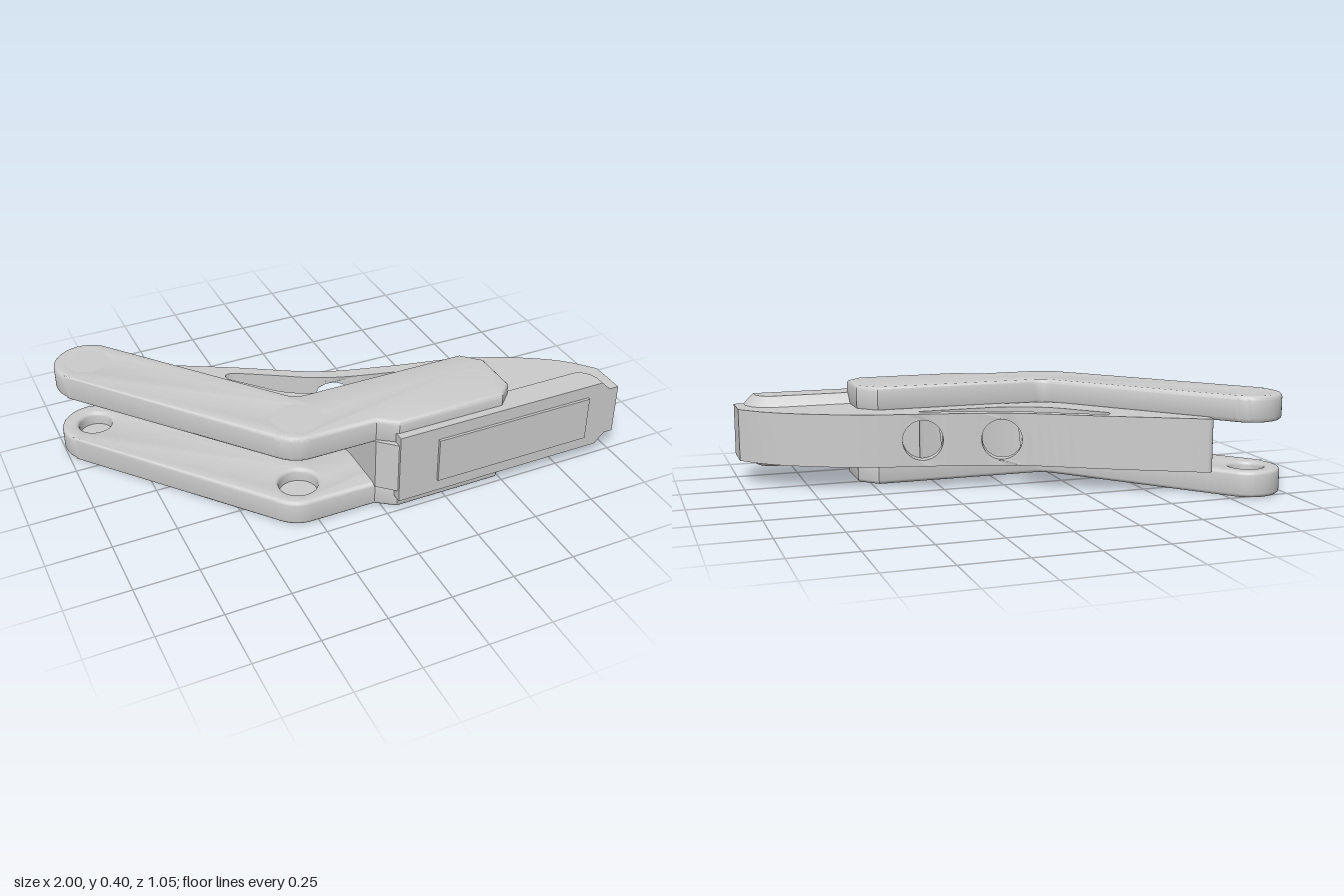
import * as THREE from 'three';
import { toCreasedNormals } from 'three/addons/utils/BufferGeometryUtils.js';

const material = new THREE.MeshStandardMaterial({ color: 0xcccccc });
const MID = 0.2; // mid height of the assembly

function add(group, name, geometry, crease = 0.6) {
  const mesh = new THREE.Mesh(toCreasedNormals(geometry, crease), material);
  mesh.name = name;
  group.add(mesh);
  return mesh;
}

// Extrude a plan outline (x, z) upward from y0 to y1, with an optional rounded edge
function slab(shape, y0, y1, bevel = 0, bevelSegments = 3) {
  const g = new THREE.ExtrudeGeometry(shape, {
    depth: y1 - y0 - 2 * bevel, curveSegments: 20, bevelEnabled: bevel > 0,
    bevelThickness: bevel, bevelSize: bevel, bevelOffset: -bevel, bevelSegments,
  });
  return g.rotateX(Math.PI / 2).translate(0, y1 - bevel, 0);
}

// Height-free curve of the back edge: z for a given x
const backCurve = new THREE.CubicInterpolant(
  [-0.69, -0.32, -0.02, 0.25, 0.57, 0.81, 0.92, 1],
  [-0.45, -0.25, -0.08, 0, 0.08, 0.195, 0.275, 0.365], 1, new Float32Array(1));
const back = (x) => backCurve.evaluate(x)[0];
const slope = (x) => (back(x + 0.01) - back(x - 0.01)) / 0.02;

const STRIP = { from: -0.1, to: 0.45, depth: 0.05 };

// Central body in plan, left open where the drilled back strip sits
function bodyShape() {
  const s = new THREE.Shape();
  const along = (a, b, offset, n = 16) => {
    for (let i = 0; i <= n; i++) {
      const x = a + (b - a) * i / n;
      s.lineTo(x, back(x) + offset);
    }
  };
  s.moveTo(1, 0.51);
  along(1, STRIP.to, 0);
  along(STRIP.to, 0.33, STRIP.depth, 6);
  // Window edge
  s.quadraticCurveTo(0.335, 0.083, 0.3, 0.083);
  s.lineTo(0.06, 0.083);
  s.bezierCurveTo(-0.08, 0.08, -0.2, 0.02, -0.26, -0.06);
  s.lineTo(-0.37, -0.18);
  s.quadraticCurveTo(-0.385, -0.225, -0.335, -0.21);
  s.quadraticCurveTo(-0.22, -0.145, STRIP.from, back(STRIP.from) + STRIP.depth);
  along(STRIP.from, -0.66, 0);
  // Rounded tail and the front side between the two plates
  s.quadraticCurveTo(-0.69, -0.46, -0.705, -0.43);
  s.lineTo(-0.7, -0.4);
  s.lineTo(-0.44, -0.09);
  s.lineTo(-0.3, 0.08);
  s.quadraticCurveTo(-0.24, 0.15, -0.16, 0.152);
  s.lineTo(-0.08, 0.155);
  s.quadraticCurveTo(-0.025, 0.165, -0.025, 0.22);
  s.lineTo(-0.025, 0.44);
  s.lineTo(0.05, 0.51);
  return s;
}

// One panel of the back strip, bent along the back curve, with an optional cross hole
function stripPanel(x0, x1, hole) {
  const h = 0.105, n = Math.max(2, Math.round((x1 - x0) / 0.02)), pts = [];
  for (let i = 0; i <= n; i++) pts.push(new THREE.Vector2(x0 + (x1 - x0) * i / n, -h));
  for (let i = n; i >= 0; i--) pts.push(new THREE.Vector2(x0 + (x1 - x0) * i / n, h));
  const s = new THREE.Shape(pts);
  const cx = (x0 + x1) / 2, m = slope(cx);
  if (hole) {
    s.holes.push(new THREE.Path().absellipse(cx, 0, 0.08 / Math.hypot(1, m), 0.08, 0, Math.PI * 2, true));
  }
  const g = new THREE.ExtrudeGeometry(s, { depth: STRIP.depth, bevelEnabled: false, curveSegments: 32 });
  const p = g.attributes.position;
  for (let i = 0; i < p.count; i++) {
    const t = p.getZ(i), lean = Math.abs(p.getY(i)) < 0.1 ? m * t : 0;
    const x = p.getX(i) - lean;
    p.setXYZ(i, x, p.getY(i) + MID, back(x) + t);
  }
  return g;
}

// Bent side plate with pin holes at its end and its bend
const PINS = [[-0.87, -0.4, 0.065], [-0.28, 0.3, 0.075]];
function plateShape() {
  const s = new THREE.Shape();
  s.moveTo(-0.4, 0.365);
  s.lineTo(-0.97, -0.317);
  s.absarc(-0.87, -0.4, 0.13, 2.448, 5.59, false);
  s.lineTo(-0.25, 0.14);
  s.quadraticCurveTo(-0.225, 0.165, -0.19, 0.165);
  s.lineTo(0.475, 0.165);
  s.lineTo(0.545, 0.235);
  s.lineTo(0.545, 0.42);
  s.lineTo(0.485, 0.48);
  s.lineTo(0.05, 0.48);
  s.lineTo(-0.02, 0.43);
  s.lineTo(-0.28, 0.43);
  s.quadraticCurveTo(-0.35, 0.43, -0.4, 0.365);
  for (const [x, z, r] of PINS) s.holes.push(new THREE.Path().absarc(x, z, r, 0, Math.PI * 2, true));
  return s;
}

// Front pad: chamfered top, bottom, back and end, but cut flat at the front and inner end
function padGeometry() {
  const s = new THREE.Shape();
  s.moveTo(0.04, 0.51);
  s.lineTo(0.04, 0.365);
  s.lineTo(0.87, 0.365);
  s.quadraticCurveTo(0.93, 0.365, 0.96, 0.44);
  s.lineTo(0.96, 0.56);
  s.lineTo(0, 0.56);
  s.lineTo(0, 0.365);
  s.lineTo(0.04, 0.365);
  const outline = new THREE.Shape([[0, 0.56], [0, 0.365], [0.87, 0.365], [0.915, 0.385],
    [0.945, 0.42], [0.96, 0.46], [0.96, 0.56]].map(([x, z]) => new THREE.Vector2(x, z)));
  const g = slab(outline, 0.055, 0.345, 0.04, 1);
  const p = g.attributes.position;
  for (let i = 0; i < p.count; i++) {
    p.setX(i, Math.max(p.getX(i), 0.04));
    p.setZ(i, Math.min(p.getZ(i), 0.512));
  }
  return g;
}

export function createModel() {
  const model = new THREE.Group();
  model.name = 'hingedLever';

  // Body and its drilled back strip
  add(model, 'body', slab(bodyShape(), 0.095, 0.305));
  const strip = new THREE.Group();
  strip.name = 'backStrip';
  model.add(strip);
  const breaks = [STRIP.from, -0.06, 0.12, 0.24, 0.42, STRIP.to];
  for (let i = 0; i < 5; i++) add(strip, 'stripPanel', stripPanel(breaks[i], breaks[i + 1], i % 2 === 1));

  // Upper and lower plates, their pin holes closed on the outside
  for (const [name, y0, y1, outer] of [['lowerPlate', 0, 0.103, 0], ['upperPlate', 0.293, 0.396, 1]]) {
    const plate = new THREE.Group();
    plate.name = name;
    model.add(plate);
    add(plate, 'plate', slab(plateShape(), y0, y1, 0.015));
    for (const [x, z, r] of PINS) {
      const cap = new THREE.CylinderGeometry(r + 0.02, r + 0.02, 0.05, 40);
      add(plate, 'pinHoleFloor', cap.translate(x, outer ? y1 - 0.025 : y0 + 0.025, z));
    }
  }

  // Front pad with a thin inset panel
  add(model, 'frontPad', padGeometry(), 0.4);
  add(model, 'padPanel', new THREE.BoxGeometry(0.66, 0.185, 0.03).translate(0.53, MID, 0.508));

  // Round seats on the body's front side and on the window wall
  for (const [x, z, turn] of [[-0.57, -0.245, -0.87], [-0.13, 0.041, Math.PI - 0.4]]) {
    const seat = add(model, 'roundSeat', new THREE.CylinderGeometry(0.065, 0.065, 0.012, 32).rotateX(Math.PI / 2));
    seat.position.set(x, MID, z);
    seat.rotation.y = turn;
  }
  return model;
}
